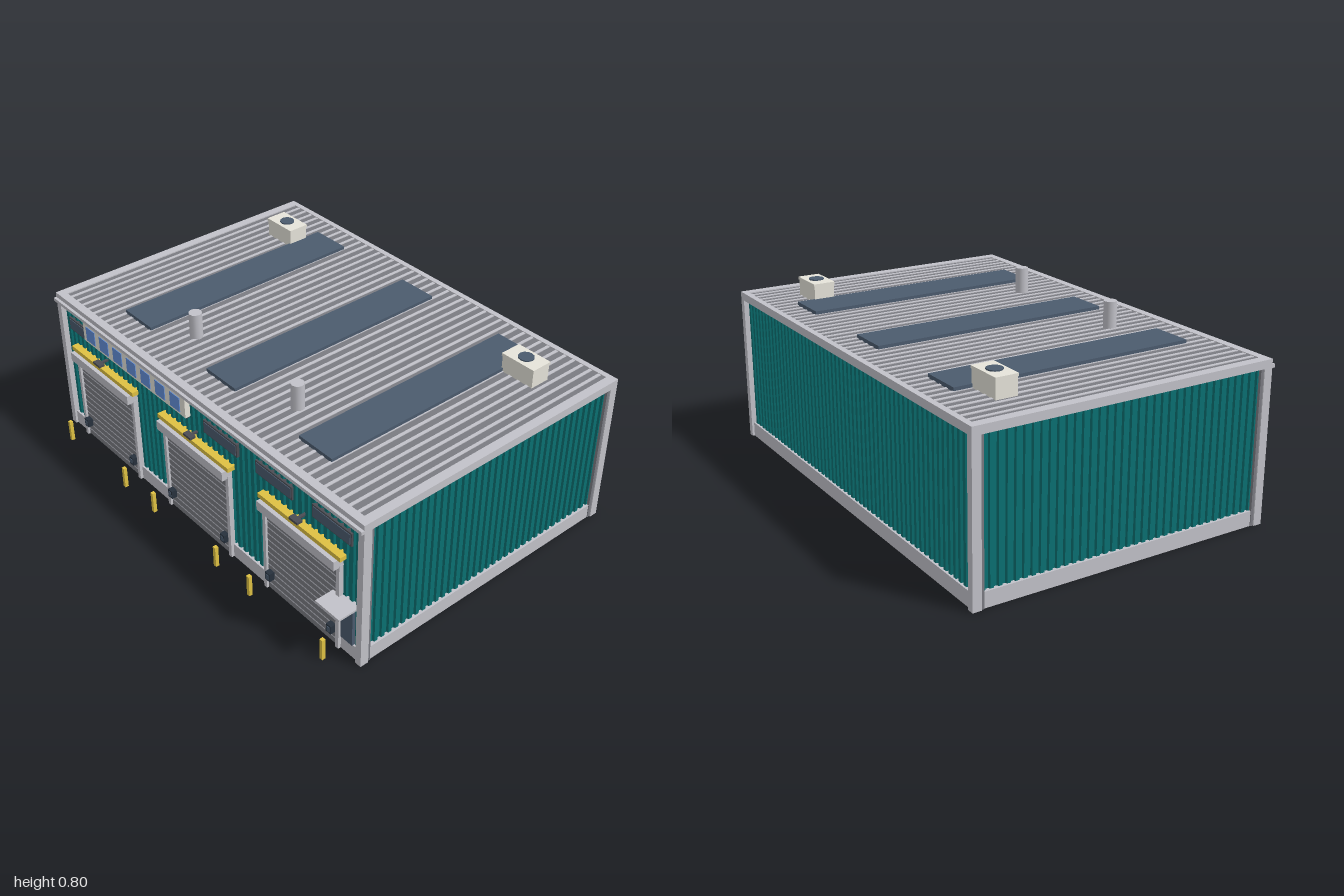
import * as THREE from 'three';

const mat = (name, color) => {
  const m = new THREE.MeshStandardMaterial({ color });
  m.name = name;
  return m;
};

export function createModel() {
  const root = new THREE.Group();
  root.name = 'warehouse';

  const teal = mat('teal cladding', 0x0a7072);
  const light = mat('light grey trim', 0xc2c2c9);
  const grey = mat('mid grey metal', 0x7a7b82);
  const dark = mat('dark grey', 0x4b4d54);
  const slate = mat('slate glass', 0x4b5b6e);
  const navy = mat('dark rubber', 0x27313d);
  const yellow = mat('safety yellow', 0xdfc143);
  const cream = mat('off white', 0xe6e4da);
  const blue = mat('sign blue', 0x6490da);

  const add = (parent, name, geo, material, x = 0, y = 0, z = 0) => {
    const m = new THREE.Mesh(geo, material);
    m.name = name;
    m.position.set(x, y, z);
    parent.add(m);
    return m;
  };
  // Box given by its min and max on each axis
  const box = (parent, name, material, x0, x1, y0, y1, z0, z1) =>
    add(parent, name, new THREE.BoxGeometry(x1 - x0, y1 - y0, z1 - z0), material,
      (x0 + x1) / 2, (y0 + y1) / 2, (z0 + z1) / 2);
  const group = (name, x = 0, z = 0) => {
    const g = new THREE.Group();
    g.name = name;
    g.position.set(x, 0, z);
    root.add(g);
    return g;
  };

  // Upright corrugated sheet facing +z, with trapezoid ribs
  const corrugated = (length, height) => {
    const n = Math.round(length / 0.035), p = length / n, depth = 0.009;
    const s = new THREE.Shape();
    s.moveTo(-length / 2, 0.01);
    s.lineTo(-length / 2, 0);
    for (let i = 0; i < n; i++) {
      const x = -length / 2 + i * p;
      s.lineTo(x + p * 0.25, 0);
      s.lineTo(x + p * 0.35, -depth);
      s.lineTo(x + p * 0.8, -depth);
      s.lineTo(x + p * 0.9, 0);
    }
    s.lineTo(length / 2, 0);
    s.lineTo(length / 2, 0.01);
    return new THREE.ExtrudeGeometry(s, { depth: height, bevelEnabled: false }).rotateX(-Math.PI / 2);
  };

  // Floor, walls and plinth
  const Y0 = 0.065, Y1 = 0.655, ZF = 0.625, ZB = -0.715, ZC = (ZF + ZB) / 2;
  box(root, 'floor', light, -0.985, 0.985, 0, 0.02, -0.7, 0.6);
  const wallH = Y1 - Y0;
  add(root, 'frontWall', corrugated(1.94, wallH), teal, 0, Y0, 0.598);
  add(root, 'backWall', corrugated(1.94, wallH), teal, 0, Y0, -0.688).rotation.y = Math.PI;
  for (const s of [-1, 1]) {
    add(root, 'sideWall', corrugated(1.27, wallH), teal, s * 0.974, Y0, ZC).rotation.y = s * Math.PI / 2;
    box(root, 'sidePlinth', light, s * 0.98 - 0.012, s * 0.98 + 0.012, 0, Y0, -0.7, 0.61);
  }
  box(root, 'backPlinth', light, -0.98, 0.98, 0, Y0, -0.705, -0.68);
  for (const [a, b] of [[-0.98, -0.87], [-0.44, -0.215], [0.215, 0.44], [0.87, 0.98]]) {
    box(root, 'frontPlinth', light, a, b, 0, Y0, 0.59, 0.615);
  }

  // Corner posts with a narrow grey joint on the sides
  for (const s of [-1, 1]) {
    for (const [z, d] of [[ZF, -1], [ZB, 1]]) {
      box(root, 'cornerPost', light, s * 0.985 - 0.015, s * 0.985 + 0.015, 0, Y1,
        Math.min(z, z + d * 0.038), Math.max(z, z + d * 0.038));
      const j = z + d * 0.044;
      box(root, 'cornerJoint', grey, s * 0.985 - 0.01, s * 0.985 + 0.01, 0, Y1, j - 0.007, j + 0.007);
    }
  }

  // Roof with slim standing ribs, edge trim and gutter
  box(root, 'roofSheet', grey, -0.97, 0.97, 0.66, 0.685, -0.7, 0.6);
  const ribs = 43;
  for (let i = 0; i < ribs; i++) {
    const x = (i - (ribs - 1) / 2) * 0.0442;
    box(root, 'roofRib', light, x - 0.007, x + 0.007, 0.68, 0.688, -0.695, 0.595);
  }
  box(root, 'frontRoofTrim', light, -1, 1, Y1, 0.69, 0.59, ZF);
  box(root, 'backRoofTrim', light, -1, 1, Y1, 0.69, ZB, -0.69);
  box(root, 'gutter', light, -1, 1, 0.653, 0.668, 0.62, 0.638);
  for (const s of [-1, 1]) {
    box(root, 'sideRoofTrim', light, s * 0.98 - 0.02, s * 0.98 + 0.02, Y1, 0.69, -0.69, 0.59);
  }

  // Skylights
  for (const x of [-0.573, 0, 0.573]) {
    box(root, 'skylight', slate, x - 0.092, x + 0.092, 0.684, 0.702, -0.585, 0.482);
  }

  // Vent pipes and roof fan units
  for (const s of [-1, 1]) {
    add(root, 'ventPipe', new THREE.CylinderGeometry(0.028, 0.028, 0.118, 12), light, s * 0.327, 0.742, 0.36);
    const unit = group('roofFanUnit', s * 0.738, -0.46);
    box(unit, 'unitBody', cream, -0.08, 0.08, 0.684, 0.764, -0.046, 0.046);
    box(unit, 'unitLid', cream, -0.083, 0.083, 0.758, 0.77, -0.049, 0.049);
    add(unit, 'fan', new THREE.CylinderGeometry(0.033, 0.033, 0.008, 12), slate, 0, 0.771, 0);
  }

  // Roller doors with frames, bumpers, lamps and bollards
  for (const x of [-0.656, 0, 0.656]) {
    const bay = group('loadingBay', x);
    box(bay, 'doorBack', dark, -0.21, 0.21, 0, 0.42, 0.59, 0.611);
    for (let i = 0; i < 13; i++) {
      box(bay, 'doorSlat', grey, -0.207, 0.207, i * 0.0315 + 0.002, i * 0.0315 + 0.027, 0.605, 0.618);
    }
    for (const s of [-1, 1]) {
      box(bay, 'doorJamb', light, s * 0.213 - 0.009, s * 0.213 + 0.009, 0, 0.42, 0.59, 0.628);
      box(bay, 'bumper', navy, s * 0.182 - 0.014, s * 0.182 + 0.014, 0.065, 0.103, 0.61, 0.643);
      box(bay, 'bumperFace', slate, s * 0.182 - 0.008, s * 0.182 + 0.008, 0.072, 0.096, 0.642, 0.645);
      box(bay, 'bollard', yellow, s * 0.219 - 0.008, s * 0.219 + 0.008, 0, 0.1, 0.695, 0.711);
    }
    box(bay, 'shutterHousing', light, -0.221, 0.221, 0.411, 0.453, 0.59, 0.655);
    box(bay, 'headerStripe', yellow, -0.236, 0.236, 0.453, 0.473, 0.59, 0.637);
    box(bay, 'lampArm', dark, -0.006, 0.006, 0.499, 0.507, 0.595, 0.645);
    box(bay, 'lampHead', dark, -0.024, 0.024, 0.497, 0.508, 0.632, 0.659);
  }

  // High windows
  for (let i = 0; i < 6; i++) {
    const x = (i - 2.5) * 0.3275;
    box(root, 'windowFrame', dark, x - 0.107, x + 0.107, 0.537, 0.597, 0.595, 0.615);
    box(root, 'windowPane', slate, x - 0.1, x + 0.1, 0.544, 0.59, 0.613, 0.618);
  }

  // Sign board with blank blue panels
  box(root, 'signBoard', cream, -0.783, -0.042, 0.554, 0.653, 0.6, 0.63);
  for (let i = 0; i < 7; i++) {
    const x = -0.725 + i * 0.1027;
    box(root, 'signPanel', blue, x - 0.033, x + 0.033, 0.566, 0.634, 0.627, 0.633);
  }

  // Staff door and canopy
  box(root, 'staffDoor', slate, 0.882, 0.946, 0.066, 0.247, 0.59, 0.621);
  box(root, 'canopy', light, 0.835, 0.966, 0.26, 0.269, 0.595, 0.705);

  return root;
}
